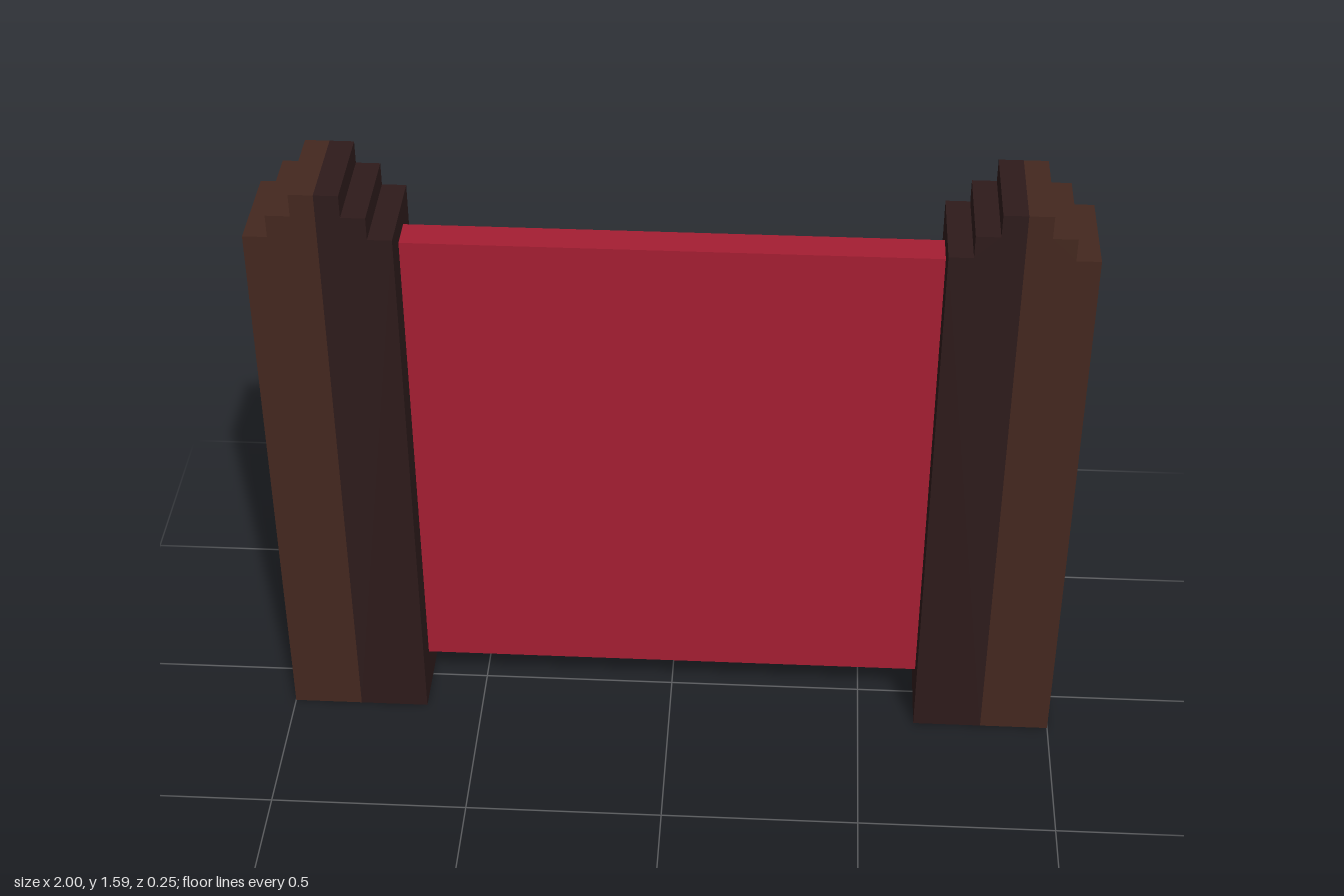
import * as THREE from 'three';

const U = 1 / 17; // grid unit: the whole banner is 34 units wide
const POST_DEPTH = 4.2 * U;

const outerWood = new THREE.MeshStandardMaterial({ color: 0x44281f });
const innerWood = new THREE.MeshStandardMaterial({ color: 0x2e1b1b });
const redCloth = new THREE.MeshStandardMaterial({ color: 0xa51e32 });

// Half of a post: a tall slab whose top steps down away from the post's centre line
function halfPostGeometry() {
  const profile = [[0, 0], [3, 0], [3, 25], [2, 25], [2, 26], [1, 26], [1, 27], [0, 27]];
  const shape = new THREE.Shape(profile.map(([x, y]) => new THREE.Vector2(x * U, y * U)));
  const geometry = new THREE.ExtrudeGeometry(shape, { depth: POST_DEPTH, bevelEnabled: false });
  return geometry.translate(0, 0, -POST_DEPTH / 2);
}

export function createModel() {
  const model = new THREE.Group();
  model.name = 'postBanner';
  const half = halfPostGeometry();

  // Two posts, lighter wood outside and darker wood towards the panel
  for (const side of [1, -1]) {
    const post = new THREE.Group();
    post.name = side > 0 ? 'leftPost' : 'rightPost';
    const outer = new THREE.Mesh(half, outerWood);
    outer.name = 'outerHalf';
    const inner = new THREE.Mesh(half, innerWood);
    inner.name = 'innerHalf';
    inner.rotation.y = Math.PI;
    post.add(outer, inner);
    post.position.x = side * 14 * U;
    post.rotation.y = side > 0 ? 0 : Math.PI;
    model.add(post);
  }

  // Red panel hung between the posts
  const panel = new THREE.Mesh(new THREE.BoxGeometry(22 * U, 22 * U, 1.4 * U), redCloth);
  panel.name = 'panel';
  panel.position.y = 13 * U;
  model.add(panel);

  return model;
}
